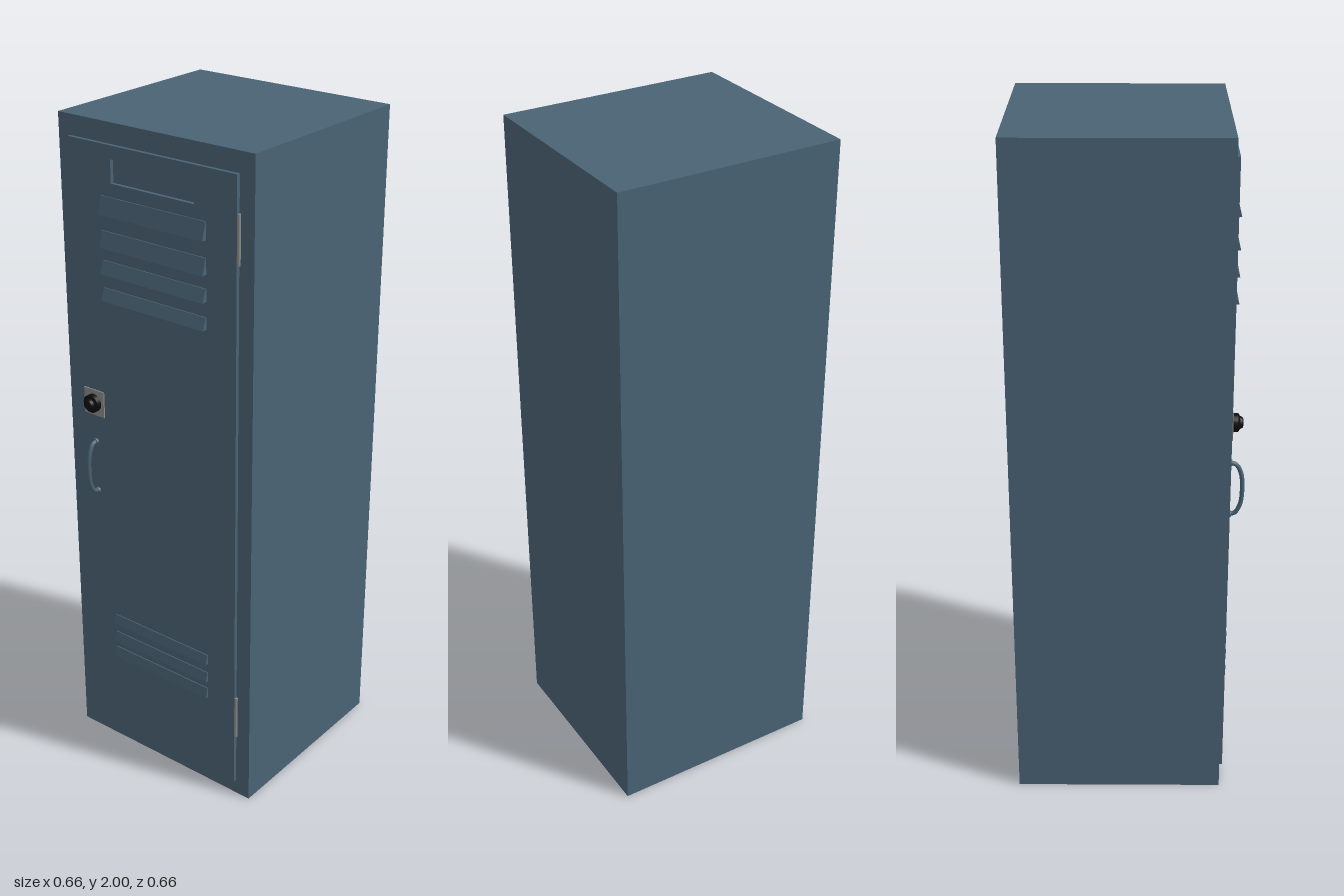
import * as THREE from 'three';

const mat = (color, extra = {}) => new THREE.MeshStandardMaterial({ color, ...extra });

export function createModel() {
  const group = new THREE.Group();
  const paint = mat(0x4a6375), steel = mat(0x8a8a88), black = mat(0x0c0c0c);
  const add = (name, geometry, material, x = 0, y = 0, z = 0) => {
    const mesh = new THREE.Mesh(geometry, material);
    mesh.name = name;
    mesh.position.set(x, y, z);
    group.add(mesh);
    return mesh;
  };
  const rect = (path, x0, y0, x1, y1) => {
    path.moveTo(x0, y0);
    path.lineTo(x1, y0);
    path.lineTo(x1, y1);
    path.lineTo(x0, y1);
    path.closePath();
    return path;
  };

  // Cabinet body
  const bodyFront = 0.277, doorFront = 0.288;
  add('cabinet', new THREE.BoxGeometry(0.662, 2, 0.61), paint, 0, 1, bodyFront - 0.305);

  // Door panel with a sunken label recess
  const doorShape = rect(new THREE.Shape(), -0.29, 0.047, 0.283, 1.942);
  doorShape.holes.push(rect(new THREE.Path(), -0.139, 1.838, 0.145, 1.904));
  add('door', new THREE.ExtrudeGeometry(doorShape, { depth: doorFront - bodyFront, bevelEnabled: false }),
    paint, 0, 0, bodyFront);

  // Vent louvres: sloping hoods, deepest at the lower edge
  const louvre = (name, bottom, top, out) => {
    const s = new THREE.Shape();
    s.moveTo(-0.002, 0);
    s.lineTo(out, 0);
    s.lineTo(0.003, top - bottom);
    s.lineTo(-0.002, top - bottom);
    s.closePath();
    const g = new THREE.ExtrudeGeometry(s, { depth: 0.358, bevelEnabled: false });
    g.translate(0, 0, -0.179);
    g.rotateY(-Math.PI / 2);
    add(name, g, paint, 0.005, bottom, doorFront);
  };
  [[1.75, 1.8], [1.656, 1.702], [1.58, 1.617], [1.502, 1.537]]
    .forEach(([a, b], i) => louvre('upperLouvre' + (i + 1), a, b, 0.016));
  [[0.437, 0.468], [0.375, 0.406], [0.317, 0.35]]
    .forEach(([a, b], i) => louvre('lowerLouvre' + (i + 1), a, b, 0.01));

  // Lock plate and turning dial
  const lockX = -0.228;
  add('lockPlate', new THREE.BoxGeometry(0.074, 0.08, 0.006), steel, lockX, 1.172, 0.289);
  const dial = new THREE.LatheGeometry([
    [0.027, 0], [0.027, 0.016], [0.019, 0.021], [0.015, 0.028], [0.013, 0.03], [0, 0.03],
  ].map(([r, h]) => new THREE.Vector2(r, h)), 32);
  dial.rotateX(Math.PI / 2);
  add('lockDial', dial, mat(0x0c0c0c, { flatShading: true }), lockX, 1.172, 0.291);

  // Bowed pull handle with a small foot at each end
  const bow = new THREE.CatmullRomCurve3([
    [0.884, 0.288], [0.888, 0.305], [0.915, 0.32], [0.965, 0.325], [1.015, 0.32], [1.042, 0.305], [1.046, 0.288],
  ].map(([y, z]) => new THREE.Vector3(0, y, z)));
  add('handle', new THREE.TubeGeometry(bow, 40, 0.0065, 12), paint, lockX);
  for (const y of [0.884, 1.046]) {
    const foot = add('handleFoot', new THREE.CylinderGeometry(0.009, 0.01, 0.008, 16), paint, lockX, y, 0.291);
    foot.rotation.x = Math.PI / 2;
  }

  // Hinge barrels on the model's left edge of the door
  for (const y of [0.286, 1.77]) {
    add('hinge', new THREE.CylinderGeometry(0.005, 0.005, 0.138, 16), steel, 0.285, y, 0.282);
  }
  return group;
}
